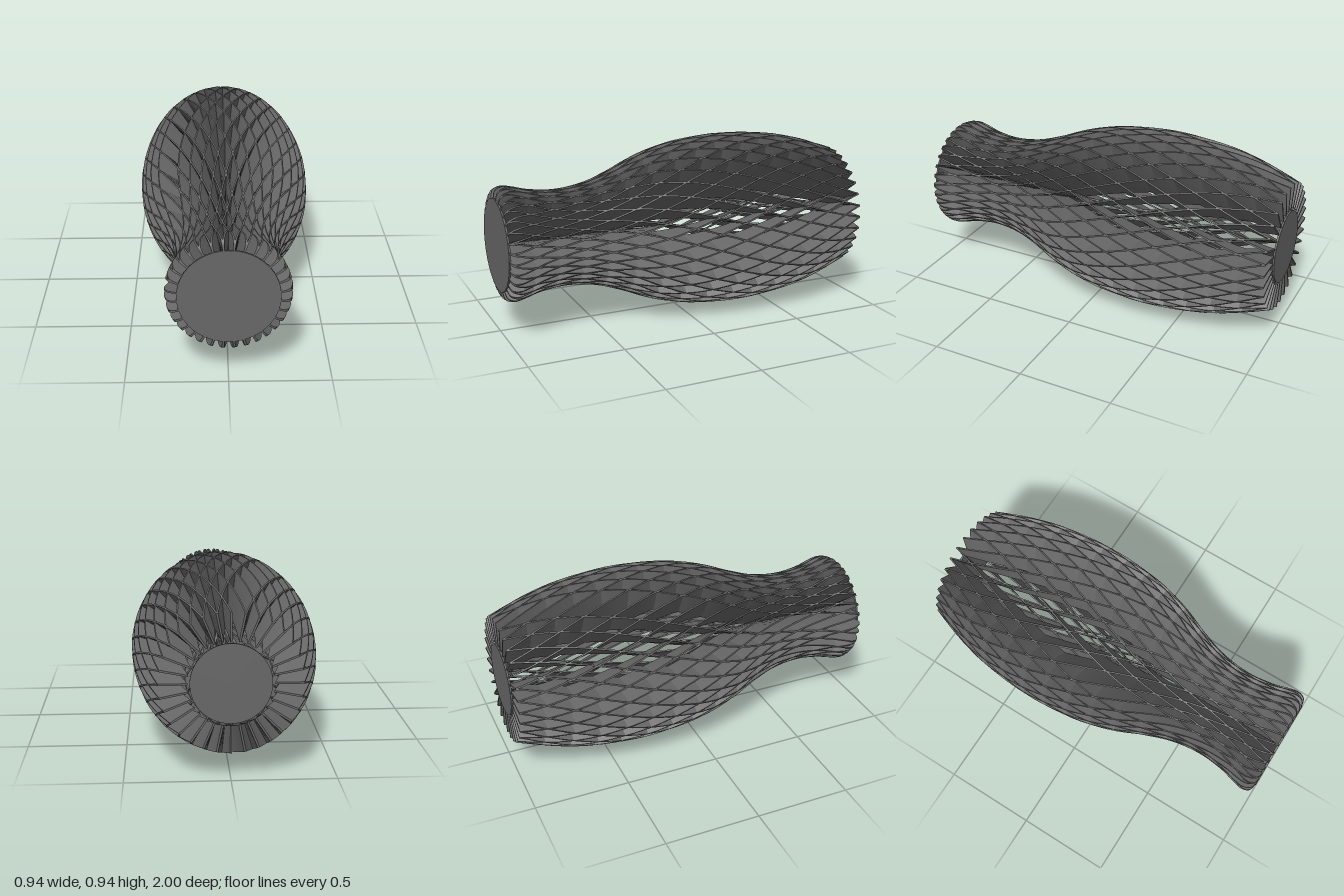
import * as THREE from 'three';

const CENTRE_Y = 0.472;
const RIBS = 32;                       // positions per direction
const STEP = (Math.PI * 2) / RIBS;
const TWIST = STEP / 0.2667;           // radians per unit of z
const HALF = 0.004;                    // half thickness of a rib

// Outer silhouette as (z, radius), back to front
const profile = new THREE.SplineCurve([
  [-0.997, 0.335], [-0.8, 0.402], [-0.6, 0.447], [-0.333, 0.47], [-0.1, 0.457], [0.05, 0.432],
  [0.2, 0.388], [0.35, 0.325], [0.5, 0.275], [0.66, 0.255], [0.8, 0.268], [0.89, 0.291],
  [0.94, 0.301], [0.975, 0.292], [0.99, 0.275], [0.997, 0.247],
].map(([z, r]) => new THREE.Vector2(z, r))).getPoints(75);

// Radial depth of a rib: shallow round the wide body, almost to the axis in the neck
const ribDepth = (z) => 0.135 + 0.11 * THREE.MathUtils.smoothstep(z, -0.2, 0.4);

// One rib: a thin radial blade swept along the profile while it twists
function ribGeometry(direction) {
  const sections = profile.map(({ x: z, y: r }) => {
    const a = direction * TWIST * (z - 1);
    const c = Math.cos(a), s = Math.sin(a);
    const inner = r - ribDepth(z);
    return [[inner, -HALF], [r, -HALF], [r, HALF], [inner, HALF]]
      .map(([u, v]) => [u * c - v * s, u * s + v * c, z]);
  });
  const pos = [], idx = [];
  // four separate strips keep the long edges sharp
  for (let k = 0; k < 4; k++) {
    const base = pos.length / 3;
    sections.forEach((sec, i) => {
      pos.push(...sec[k], ...sec[(k + 1) % 4]);
      if (i < sections.length - 1) {
        const p = base + i * 2;
        idx.push(p, p + 1, p + 3, p, p + 3, p + 2);
      }
    });
  }
  // end caps
  const back = pos.length / 3;
  sections[0].forEach((p) => pos.push(...p));
  idx.push(back, back + 2, back + 1, back, back + 3, back + 2);
  const front = pos.length / 3;
  sections[sections.length - 1].forEach((p) => pos.push(...p));
  idx.push(front, front + 1, front + 2, front, front + 2, front + 3);

  const g = new THREE.BufferGeometry();
  g.setAttribute('position', new THREE.Float32BufferAttribute(pos, 3));
  g.setIndex(idx);
  g.computeVertexNormals();
  return g;
}

export function createModel() {
  const model = new THREE.Group();
  model.name = 'latticeVase';
  const material = new THREE.MeshStandardMaterial({ color: 0x686868 });

  // Two mirrored families of twisted ribs, each with one rib left out
  for (const direction of [1, -1]) {
    const family = new THREE.Group();
    family.name = direction > 0 ? 'ribsTwistedOneWay' : 'ribsTwistedOtherWay';
    const geometry = ribGeometry(direction);
    for (let k = 1; k < RIBS; k++) {
      const rib = new THREE.Mesh(geometry, material);
      rib.name = 'rib';
      rib.rotation.z = Math.PI - direction * (k + 0.5) * STEP;
      family.add(rib);
    }
    model.add(family);
  }

  // Flat discs closing both ends
  for (const [name, radius, z] of [['frontDisc', 0.243, 0.995], ['backDisc', 0.19, -0.995]]) {
    const disc = new THREE.Mesh(new THREE.CylinderGeometry(radius, radius, 0.01, 96), material);
    disc.name = name;
    disc.rotation.x = Math.PI / 2;
    disc.position.z = z;
    model.add(disc);
  }

  model.position.y = CENTRE_Y;
  const root = new THREE.Group();
  root.name = 'model';
  root.add(model);
  return root;
}
